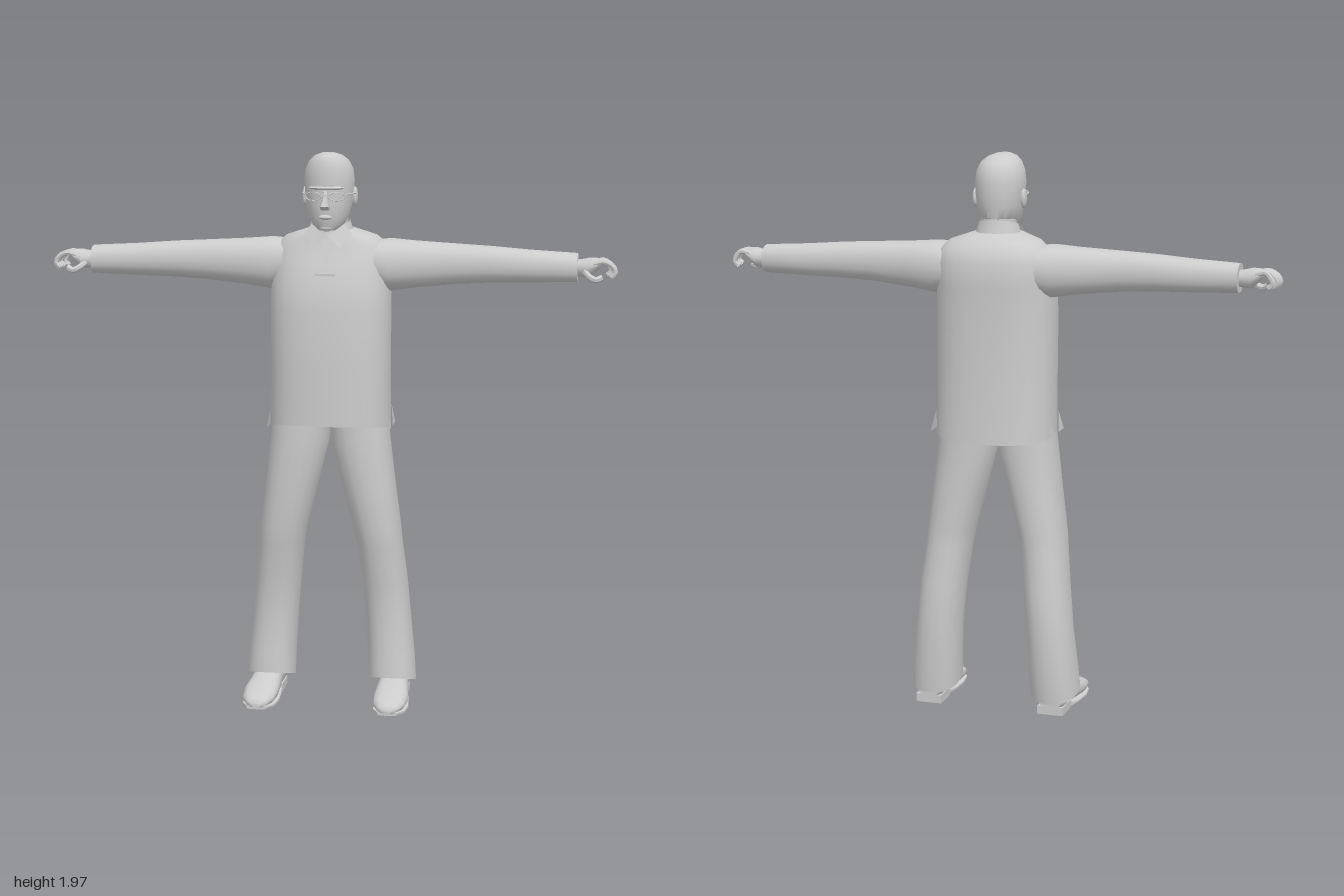
import * as THREE from 'three';
import { toCreasedNormals } from 'three/addons/utils/BufferGeometryUtils.js';

const grey = new THREE.MeshStandardMaterial({ color: 0xcccccc, side: THREE.DoubleSide });
grey.name = 'plain grey';

// Skin over superellipse rings [t, centreU, centreV, radiusU, radiusV, tilt], t rising.
// Axis y: u = x, v = z. Axis x: u = z, v = y. Axis z: u = y, v = x.
function loft(rings, { axis = 'y', n = 20, power = 2, caps = [true, true] } = {}) {
  const pos = [], idx = [];
  const put = (u, t, v) => pos.push(...(axis === 'y' ? [u, t, v] : axis === 'x' ? [t, v, u] : [v, u, t]));
  const bend = c => Math.sign(c) * Math.abs(c) ** (2 / power);
  for (const [t, cu, cv, ru, rv, tilt = 0] of rings)
    for (let j = 0; j < n; j++) {
      const a = (j / n) * Math.PI * 2, s = bend(Math.sin(a));
      put(cu + ru * bend(Math.cos(a)), t + tilt * s, cv + rv * s);
    }
  for (let i = 0; i < rings.length - 1; i++)
    for (let j = 0; j < n; j++) {
      const a = i * n + j, b = i * n + (j + 1) % n;
      idx.push(a, a + n, b, b, a + n, b + n);
    }
  [0, rings.length - 1].forEach((r, k) => {
    if (!caps[k]) return;
    const c = pos.length / 3;
    put(rings[r][1], rings[r][0], rings[r][2]);
    for (let j = 0; j < n; j++) {
      const a = r * n + j, b = r * n + (j + 1) % n;
      idx.push(...(k ? [c, b, a] : [c, a, b]));
    }
  });
  const g = new THREE.BufferGeometry();
  g.setAttribute('position', new THREE.Float32BufferAttribute(pos, 3));
  g.setIndex(idx);
  g.computeVertexNormals();
  return g;
}

// Thin flat panel fanned from a few corners
function panel(corners) {
  const g = new THREE.BufferGeometry().setFromPoints(corners.map(c => new THREE.Vector3(...c)));
  const idx = [];
  for (let i = 1; i < corners.length - 1; i++) idx.push(0, i, i + 1);
  g.setIndex(idx);
  g.computeVertexNormals();
  return g;
}

function tube(points, radius, sides = 7) {
  const curve = new THREE.CatmullRomCurve3(points.map(p => new THREE.Vector3(...p)));
  return new THREE.TubeGeometry(curve, 10, radius, sides);
}

function ball(x, y, z, rx, ry, rz) {
  return new THREE.SphereGeometry(1, 14, 10).scale(rx, ry, rz).translate(x, y, z);
}

// Copy to the other side and restore the corner order
function mirrored(geometry) {
  const g = geometry.clone().scale(-1, 1, 1);
  const a = g.index.array;
  for (let i = 0; i < a.length; i += 3) [a[i], a[i + 1]] = [a[i + 1], a[i]];
  g.computeVertexNormals();
  return g;
}

export function createModel() {
  const model = new THREE.Group();
  model.name = 'standingMan';
  const add = (name, g) => {
    const mesh = new THREE.Mesh(toCreasedNormals(g, 0.8), grey);
    mesh.name = name;
    model.add(mesh);
  };
  const pair = (name, g) => {
    add(name + 'Left', g);
    add(name + 'Right', mirrored(g));
  };

  // Jacket, hem lower at the back
  add('jacket', loft([
    [1.0, 0, -0.03, 0.212, 0.165, 0.022],
    [1.2, 0, -0.025, 0.21, 0.16],
    [1.42, 0, -0.025, 0.212, 0.157],
    [1.52, 0, -0.033, 0.21, 0.152],
    [1.6, 0, -0.05, 0.205, 0.138],
    [1.645, 0, -0.05, 0.195, 0.12],
    [1.675, 0, -0.042, 0.16, 0.105],
    [1.7, 0, -0.025, 0.085, 0.085],
  ], { n: 28, power: 2.5, caps: [false, true] }));

  // Side vents at the hem
  for (const z of [0.03, -0.085])
    pair('hemVent', panel([[0.217, 1.0, z + 0.035], [0.217, 1.0, z - 0.035], [0.208, 1.07, z]]));

  // Sleeves, open at the cuff
  pair('sleeve', loft([
    [0.16, -0.045, 1.58, 0.1, 0.082],
    [0.21, -0.045, 1.575, 0.1, 0.092],
    [0.3, -0.042, 1.578, 0.08, 0.082],
    [0.45, -0.038, 1.582, 0.066, 0.07],
    [0.56, -0.038, 1.582, 0.064, 0.064],
    [0.7, -0.04, 1.578, 0.059, 0.057],
    [0.86, -0.042, 1.576, 0.055, 0.05],
    [0.86, -0.042, 1.576, 0.03, 0.03],
  ], { axis: 'x', power: 2.3, caps: [false, false] }));

  // Hands with curled fingers
  pair('palm', loft([
    [0.82, -0.04, 1.575, 0.028, 0.028],
    [0.87, -0.04, 1.575, 0.03, 0.03],
    [0.9, -0.036, 1.577, 0.042, 0.035],
    [0.925, -0.036, 1.588, 0.042, 0.023],
    [0.94, -0.036, 1.593, 0.034, 0.012],
  ], { axis: 'x', n: 14 }));
  [-0.068, -0.047, -0.026, -0.003].forEach((z, i) => {
    const r = [0.975, 0.985, 0.989, 0.99][i];
    pair('finger' + (i + 1), tube([[0.915, 1.592, z], [0.95, 1.6, z], [r - 0.01, 1.585, z],
      [r, 1.563, z], [r - 0.014, 1.548, z]], 0.0095));
  });
  pair('thumb', tube([[0.885, 1.565, -0.01], [0.905, 1.548, 0.01], [0.925, 1.54, 0.012], [0.945, 1.548, 0.006]], 0.011));

  // Trouser legs with a tilted cuff
  pair('trouserLeg', loft([
    [0.07, 0.222, -0.042, 0.086, 0.1, 0.028],
    [0.16, 0.217, -0.05, 0.084, 0.104, 0.01],
    [0.3, 0.206, -0.057, 0.08, 0.1],
    [0.44, 0.193, -0.05, 0.08, 0.104],
    [0.58, 0.177, -0.027, 0.08, 0.108],
    [0.64, 0.168, -0.022, 0.084, 0.112],
    [0.8, 0.137, -0.018, 0.094, 0.118],
    [0.96, 0.108, -0.015, 0.105, 0.118],
    [1.08, 0.1, -0.02, 0.1, 0.12],
  ], { power: 2.3 }));

  // Shoes: upper, sole and heel
  pair('shoeUpper', loft([
    [-0.13, 0.05, 0.228, 0.025, 0.04],
    [-0.11, 0.058, 0.228, 0.045, 0.05],
    [-0.03, 0.06, 0.23, 0.048, 0.05],
    [0.03, 0.05, 0.232, 0.042, 0.056],
    [0.1, 0.04, 0.235, 0.032, 0.062],
    [0.16, 0.032, 0.235, 0.024, 0.055],
    [0.195, 0.026, 0.235, 0.016, 0.037],
    [0.208, 0.02, 0.235, 0.008, 0.016],
  ], { axis: 'z', power: 2.4 }));
  pair('shoeSole', loft([
    [-0.02, 0.012, 0.232, 0.01, 0.052],
    [0.03, 0.008, 0.233, 0.008, 0.058],
    [0.1, 0.008, 0.235, 0.008, 0.064],
    [0.16, 0.009, 0.235, 0.008, 0.057],
    [0.2, 0.012, 0.235, 0.008, 0.036],
  ], { axis: 'z', power: 4 }));
  pair('shoeHeel', new THREE.BoxGeometry(0.094, 0.03, 0.1).translate(0.228, 0.015, -0.08));

  // Neck and head
  add('neck', loft([[1.66, 0, -0.015, 0.064, 0.068], [1.77, 0, -0.01, 0.062, 0.07]]));
  add('head', loft([
    [1.703, 0, 0.062, 0.03, 0.036],
    [1.72, 0, 0.037, 0.054, 0.067],
    [1.75, 0, 0.015, 0.07, 0.098],
    [1.79, 0, 0.012, 0.079, 0.104],
    [1.83, 0, 0.01, 0.084, 0.105],
    [1.87, 0, 0.012, 0.087, 0.106],
    [1.91, 0, 0.013, 0.082, 0.103],
    [1.94, 0, 0.02, 0.068, 0.09],
    [1.958, 0, 0.034, 0.047, 0.067],
    [1.967, 0, 0.042, 0.022, 0.035],
  ], { n: 24, power: 2.1 }));
  add('nose', loft([
    [1.775, 0, 0.112, 0.016, 0.012],
    [1.788, 0, 0.118, 0.018, 0.029],
    [1.81, 0, 0.115, 0.011, 0.02],
    [1.84, 0, 0.11, 0.008, 0.01],
  ], { n: 10 }));
  add('lips', ball(0, 1.75, 0.108, 0.024, 0.009, 0.013));
  add('chin', ball(0, 1.715, 0.083, 0.028, 0.016, 0.02));
  add('brow', ball(0, 1.85, 0.088, 0.062, 0.011, 0.033));
  pair('ear', ball(0.087, 1.815, 0.0, 0.011, 0.034, 0.02));

  // Glasses
  pair('lensRim', new THREE.TorusGeometry(0.026, 0.003, 6, 20).scale(1.1, 0.55, 1).rotateY(0.25).translate(0.041, 1.822, 0.117));
  pair('glassesTemple', tube([[0.068, 1.828, 0.11], [0.085, 1.828, 0.06], [0.092, 1.826, 0.0]], 0.003, 5));
  add('glassesBridge', new THREE.BoxGeometry(0.026, 0.005, 0.006).translate(0, 1.826, 0.127));

  // Collar, lapels, shirt front and clip
  add('collar', loft([
    [1.685, 0, -0.012, 0.082, 0.085, -0.012],
    [1.73, 0, -0.012, 0.068, 0.074, -0.015],
  ], { caps: [false, false] }));
  pair('collarWing', panel([[0.055, 1.722, 0.048], [0.004, 1.683, 0.08], [0.045, 1.642, 0.084], [0.085, 1.69, 0.055]]));
  add('shirtFront', panel([[-0.022, 1.675, 0.075], [0, 1.565, 0.111], [0.022, 1.675, 0.075]]));
  add('chestClip', new THREE.BoxGeometry(0.07, 0.008, 0.008).translate(0, 1.552, 0.113));
  return model;
}
